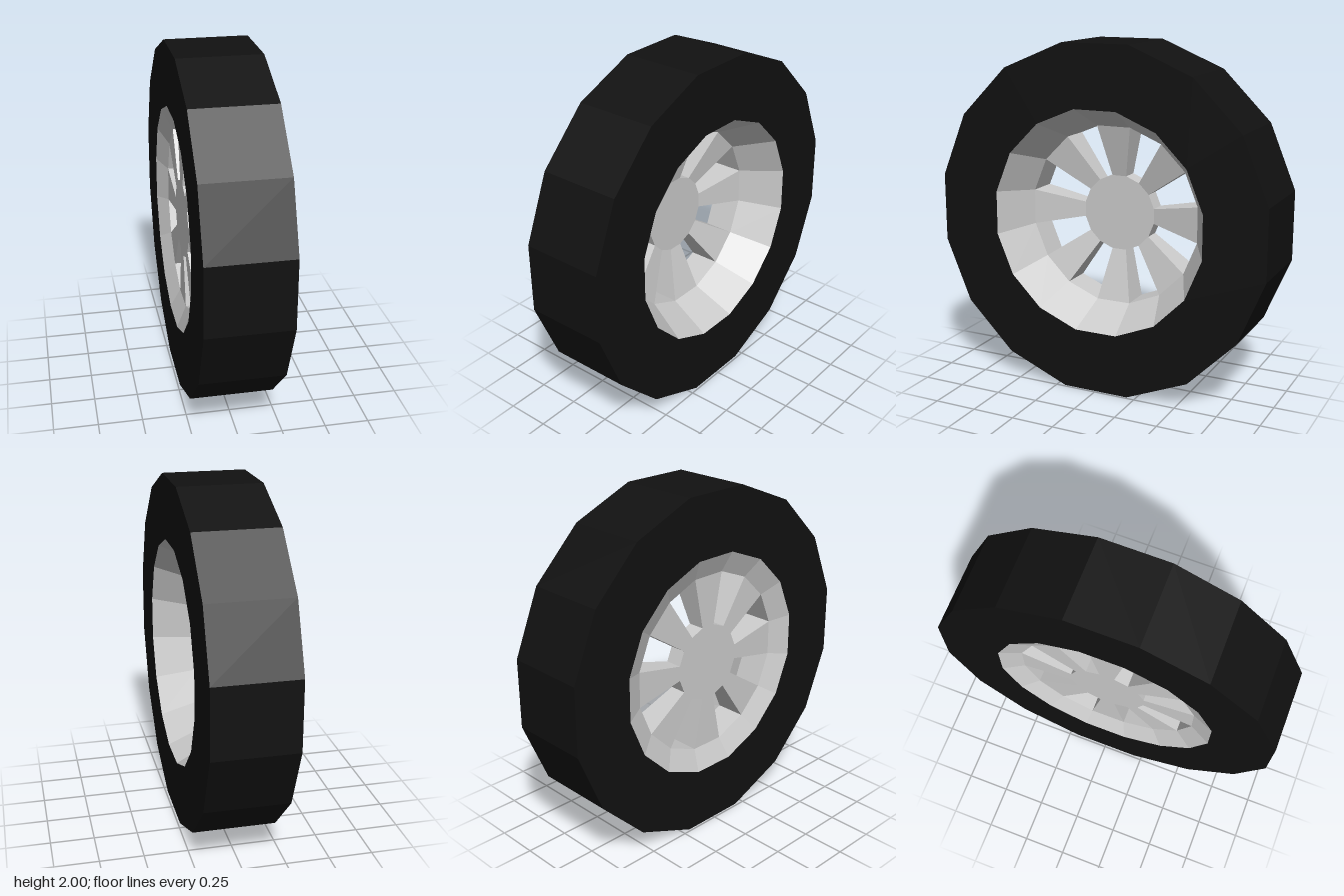
import * as THREE from 'three';

const SIDES = 16;
const HALF_WIDTH = 0.237;
const BACK = -0.18;        // back plane of hub and spokes
const RIM_FRONT = 0;       // front of the spokes where they meet the rim
const HUB_FRONT = -0.08;   // front of the recessed hub
const TIRE_R = 1.02, RIM_R = 0.653, WELL_R = 0.53, HUB_R = 0.225;

const rubber = new THREE.MeshStandardMaterial({ color: 0x111111, flatShading: true });
const metal = new THREE.MeshStandardMaterial({ color: 0xcccccc, flatShading: true });

// Revolves [radius, x] points about the x axis, with a flat facet at the top
function ring(name, profile, material) {
  const points = profile.map(([r, x]) => new THREE.Vector2(r, x));
  const geometry = new THREE.LatheGeometry(points, SIDES, Math.PI / SIDES);
  geometry.rotateZ(-Math.PI / 2);
  const mesh = new THREE.Mesh(geometry, material);
  mesh.name = name;
  return mesh;
}

// Tapered spoke: spans one facet of the hub to the matching facet of the rim
function spokeGeometry() {
  const geometry = new THREE.BoxGeometry(1, 1, 1);
  const p = geometry.attributes.position;
  const half = Math.PI / SIDES;
  for (let i = 0; i < p.count; i++) {
    const outer = p.getY(i) > 0;
    const r = outer ? WELL_R : HUB_R;
    const front = outer ? RIM_FRONT : HUB_FRONT;
    p.setXYZ(i,
      p.getX(i) > 0 ? front : BACK,
      r * Math.cos(half),
      Math.sign(p.getZ(i)) * r * Math.sin(half));
  }
  geometry.computeVertexNormals();
  return geometry;
}

export function createModel() {
  const wheel = new THREE.Group();
  wheel.name = 'wheel';

  // Tire: tread and two flat sidewalls
  wheel.add(ring('tire', [
    [RIM_R, -HALF_WIDTH], [TIRE_R, -HALF_WIDTH],
    [TIRE_R, HALF_WIDTH], [RIM_R, HALF_WIDTH],
  ], rubber));

  // Rim: deep front cone, straight well, shallow back cone
  wheel.add(ring('rim', [
    [RIM_R, HALF_WIDTH], [WELL_R, RIM_FRONT],
    [WELL_R, BACK], [RIM_R, -HALF_WIDTH],
  ], metal));

  // Hub: solid disc
  wheel.add(ring('hub', [
    [0, BACK], [HUB_R, BACK], [HUB_R, HUB_FRONT], [0, HUB_FRONT],
  ], metal));

  // Spokes
  const geometry = spokeGeometry();
  for (let i = 0; i < 8; i++) {
    const spoke = new THREE.Mesh(geometry, metal);
    spoke.name = 'spoke';
    spoke.rotation.x = (i * Math.PI) / 4;
    wheel.add(spoke);
  }

  wheel.position.y = 1;
  const model = new THREE.Group();
  model.add(wheel);
  return model;
}
